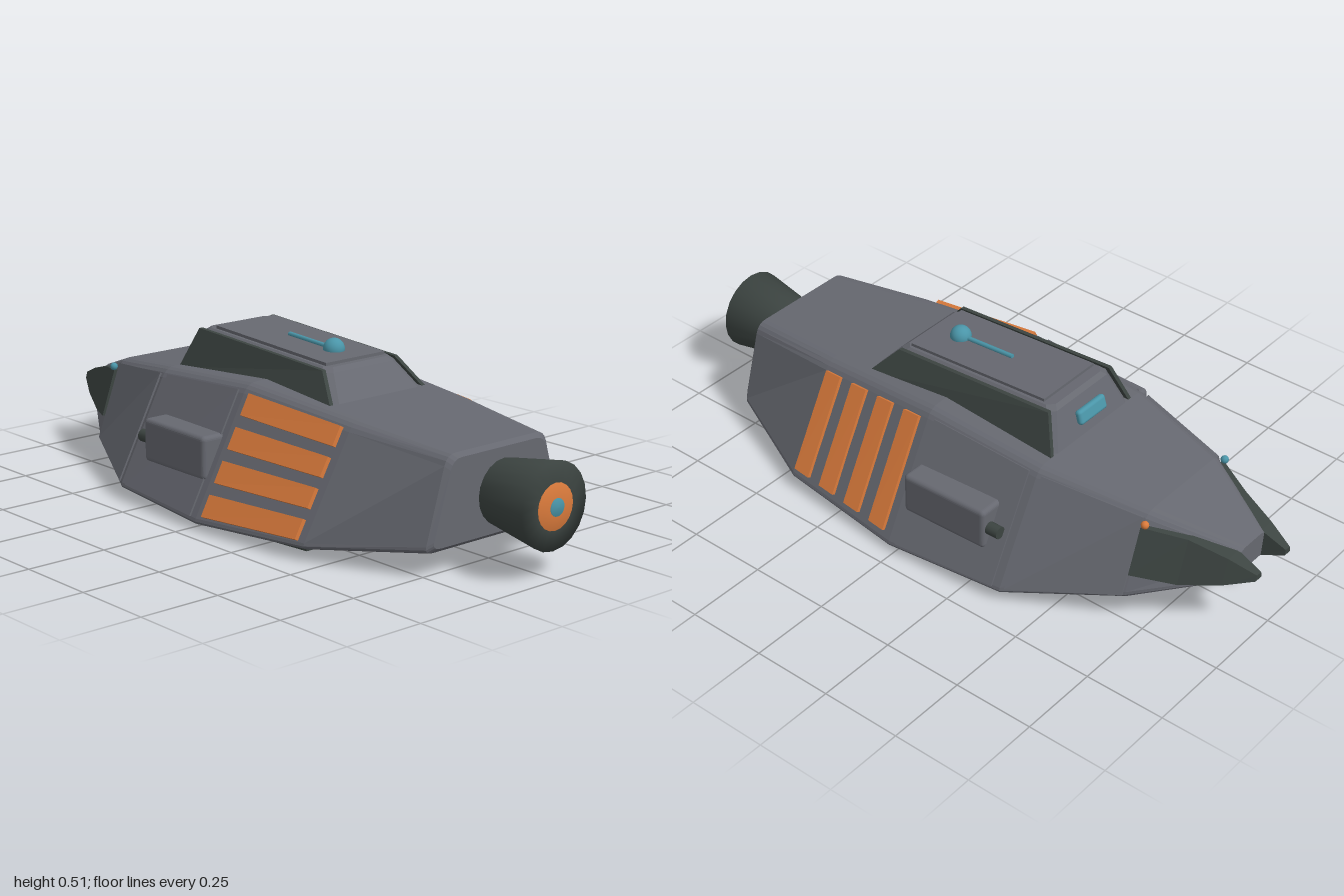
import * as THREE from 'three';
import { RoundedBoxGeometry } from 'three/addons/geometries/RoundedBoxGeometry.js';

const mat = (name, color) => Object.assign(new THREE.MeshStandardMaterial({ color }), { name });
const lerp = THREE.MathUtils.lerp;

// Hull stations: z, bottom half width, bottom y, top half width, top y
const STATIONS = [
  [0.77, 0.265, 0.073, 0.187, 0.336],
  [0.44, 0.41, 0.035, 0.22, 0.366],
  [0.02, 0.452, 0.015, 0.245, 0.4],
  [-0.37, 0.422, 0.03, 0.238, 0.375],
  [-0.69, 0.262, 0.085, 0.168, 0.333],
  [-0.93, 0.11, 0.175, 0.055, 0.255],
];

function stationAt(z) {
  let i = 0;
  while (i < STATIONS.length - 2 && z < STATIONS[i + 1][0]) i++;
  const a = STATIONS[i], b = STATIONS[i + 1];
  const t = (z - a[0]) / (b[0] - a[0]);
  return a.map((v, k) => lerp(v, b[k], t));
}

// Flat-faced skin through rings that run counter-clockwise seen from the first ring's outside
function loft(rings) {
  const pos = [];
  const tri = (...pts) => pts.forEach((p) => pos.push(...p));
  const n = rings[0].length, last = rings[rings.length - 1];
  for (let i = 0; i < rings.length - 1; i++) {
    for (let j = 0; j < n; j++) {
      const k = (j + 1) % n;
      const a = rings[i][j], b = rings[i][k], c = rings[i + 1][k], d = rings[i + 1][j];
      tri(a, d, c);
      tri(a, c, b);
    }
  }
  for (let j = 1; j < n - 1; j++) {
    tri(rings[0][0], rings[0][j], rings[0][j + 1]);
    tri(last[0], last[j + 1], last[j]);
  }
  const g = new THREE.BufferGeometry();
  g.setAttribute('position', new THREE.Float32BufferAttribute(pos, 3));
  g.computeVertexNormals();
  return g;
}

// Box whose corners are placed by a rule of u, v, w in 0..1
function block(rule) {
  const g = new THREE.BoxGeometry(1, 1, 1).toNonIndexed();
  const p = g.attributes.position;
  for (let i = 0; i < p.count; i++) {
    p.setXYZ(i, ...rule(p.getX(i) + 0.5, p.getY(i) + 0.5, p.getZ(i) + 0.5));
  }
  g.computeVertexNormals();
  return g;
}

// Trapezoid hull section with rounded corners
function hullRing([z, bw, yb, tw, yt], inset = 0) {
  const B = new THREE.Vector2(bw - inset * 1.4, yb + inset), T = new THREE.Vector2(tw - inset, yt - inset);
  const d = T.clone().sub(B).normalize();
  const r = Math.min(0.032, tw * 0.4);
  const corner = (c, p0, p1) => new THREE.QuadraticBezierCurve(p0, c, p1).getPoints(4);
  const half = [
    ...corner(B, new THREE.Vector2(B.x - r, B.y), B.clone().addScaledVector(d, r * 0.7)),
    ...corner(T, T.clone().addScaledVector(d, -r), new THREE.Vector2(T.x - r, T.y)),
  ].map((q) => [q.x, q.y, z]);
  return [...half, ...half.slice().reverse().map(([x, y]) => [-x, y, z])];
}

// Slab lying on a sloping hull flank; t runs from 0 at the bottom to 1 at the top
function flankPlate(side, z0, z1, t0, t1, thick) {
  return block((u, v, w) => {
    const z = lerp(z0, z1, side > 0 ? 1 - u : u);
    const [, bw, yb, tw, yt] = stationAt(z);
    const len = Math.hypot(bw - tw, yt - yb), t = lerp(t0, t1, v), off = lerp(-0.01, thick, w);
    return [
      side * (lerp(bw, tw, t) + (off * (yt - yb)) / len),
      lerp(yb, yt, t) + (off * (bw - tw)) / len,
      z,
    ];
  });
}

const cabinTop = (z) => 0.474 - 0.055 * z;

// Cabin outline with cut corners, front and rear at different heights
function cabinRing(x, zf, zr, yOf, c = 0.02) {
  return [
    [x - c, zf], [x, zf - c], [x, zr + c], [x - c, zr],
    [c - x, zr], [-x, zr + c], [-x, zf - c], [c - x, zf],
  ].map(([px, pz]) => [px, yOf(pz), pz]);
}

export function createModel() {
  const grey = mat('hull grey', 0x666870);
  const dark = mat('dark green grey', 0x3c4441);
  const orange = mat('orange', 0xdb7b3c);
  const blue = mat('teal blue', 0x4a95a8);
  const root = new THREE.Group();
  root.name = 'spacecraft';
  const add = (name, geometry, material, x = 0, y = 0, z = 0) => {
    const m = new THREE.Mesh(geometry, material);
    m.name = name;
    m.position.set(x, y, z);
    root.add(m);
    return m;
  };

  // Hull with a bevelled front edge
  const nose = [0.783, ...STATIONS[0].slice(1)];
  add('hull', loft([hullRing(nose, 0.012), ...STATIONS.map((s) => hullRing(s))]), grey);

  // Belly plates
  for (const [z0, z1] of [[0.04, 0.42], [-0.335, -0.005]]) {
    add('bellyPlate', block((u, v, w) => {
      const z = lerp(z0, z1, w), yb = stationAt(z)[2];
      return [lerp(-0.372, 0.372, u), yb + lerp(-0.013, 0.004, v), z];
    }), dark);
  }

  // Cabin, its roof plate and dark side windows
  add('cabin', loft([
    cabinRing(0.122, 0.225, -0.318, cabinTop),
    cabinRing(0.135, 0.242, -0.332, (z) => cabinTop(z) - 0.012),
    cabinRing(0.188, 0.335, -0.382, () => 0.345),
  ]), grey);
  add('roofPlate', block((u, v, w) => {
    const z = lerp(-0.285, 0.208, w);
    return [lerp(-0.113, 0.113, u), cabinTop(z) + lerp(-0.005, 0.009, v), z];
  }), grey);
  for (const side of [1, -1]) {
    add('cabinWindow', block((u, v, w) => {
      const f = side > 0 ? 1 - u : u;
      const z = lerp(lerp(-0.372, -0.325, v), lerp(0.312, 0.228, v), f);
      return [side * (lerp(0.18, 0.137, v) + lerp(-0.004, 0.009, w)), lerp(0.368, cabinTop(z) - 0.003, v), z];
    }), dark);
  }

  // Roof dome with its rod, and the rear cabin lamp
  add('roofDome', new THREE.SphereGeometry(0.032, 24, 16), blue, 0, 0.48, 0.115);
  const rod = add('roofRod', new THREE.CylinderGeometry(0.007, 0.007, 0.19, 10), blue, 0, 0.486, 0.015);
  rod.rotation.x = Math.PI / 2 + 0.055;
  const lamp = add('rearLamp', new RoundedBoxGeometry(0.12, 0.045, 0.022, 3, 0.01), blue, 0, 0.437, -0.365);
  lamp.rotation.x = 0.3;

  // Upright stripes on the left flank, lengthwise stripes on the right
  for (let i = 0; i < 4; i++) {
    const z = 0.076 + i * 0.108;
    add('leftStripe', flankPlate(1, z - 0.03, z + 0.03, 0.1, 0.92, 0.013), orange);
    const t = 0.145 + i * 0.238;
    add('rightStripe', flankPlate(-1, 0.05, 0.415, t - 0.078, t + 0.078, 0.013), orange);
  }

  for (const side of [1, -1]) {
    // Flank panels
    add('middlePanel', flankPlate(side, -0.345, -0.005, 0.05, 0.945, 0.006), grey);
    add('rearPanel', flankPlate(side, -0.685, -0.385, 0.05, 0.945, 0.006), grey);

    // Side pod with a short nozzle
    const pod = new RoundedBoxGeometry(0.1, 0.13, 0.29, 3, 0.014);
    const p = pod.attributes.position;
    for (let i = 0; i < p.count; i++) {
      if (p.getZ(i) < 0) p.setX(i, p.getX(i) * 0.85);
    }
    pod.computeVertexNormals();
    add('sidePod', pod, grey, side * 0.345, 0.195, -0.145);
    const nozzle = add('podNozzle', new THREE.CylinderGeometry(0.019, 0.019, 0.05, 14), dark, side * 0.36, 0.195, -0.305);
    nozzle.rotation.x = Math.PI / 2;

    // Tail fin
    const fin = [
      [-0.69, [0.15, 0.162], [0.246, 0.162], [0.197, 0.3], [0.15, 0.3]],
      [-0.81, [0.08, 0.148], [0.182, 0.15], [0.138, 0.282], [0.1, 0.282]],
      [-0.92, [0.045, 0.17], [0.13, 0.174], [0.105, 0.252], [0.055, 0.252]],
      [-1, [0.057, 0.202], [0.085, 0.202], [0.08, 0.22], [0.06, 0.22]],
    ].map(([z, ...pts]) => {
      const ring = pts.map(([x, y]) => [side * x, y, z]);
      return side > 0 ? ring : ring.reverse();
    });
    add('tailFin', loft(fin), dark);

    // Marker light above the fin
    add('markerLight', new THREE.SphereGeometry(0.012, 12, 8), side > 0 ? orange : blue, side * 0.19, 0.31, -0.7);
  }

  // Engine bell with glowing centre
  const turned = (name, pts, material) => {
    const g = new THREE.LatheGeometry(pts.map(([r, z]) => new THREE.Vector2(r, z)), 20);
    g.rotateX(Math.PI / 2);
    add(name, g, material, 0, 0.205, 0);
  };
  turned('engineBell', [[0, 0.8], [0.094, 0.8], [0.094, 0.8], [0.125, 0.985], [0.066, 0.989], [0, 0.989]], dark);
  turned('engineRing', [[0.068, 0.982], [0.066, 0.992], [0.024, 0.996], [0, 0.996]], orange);
  turned('engineCore', [[0.027, 0.99], [0.025, 0.999], [0, 1]], blue);

  return root;
}
